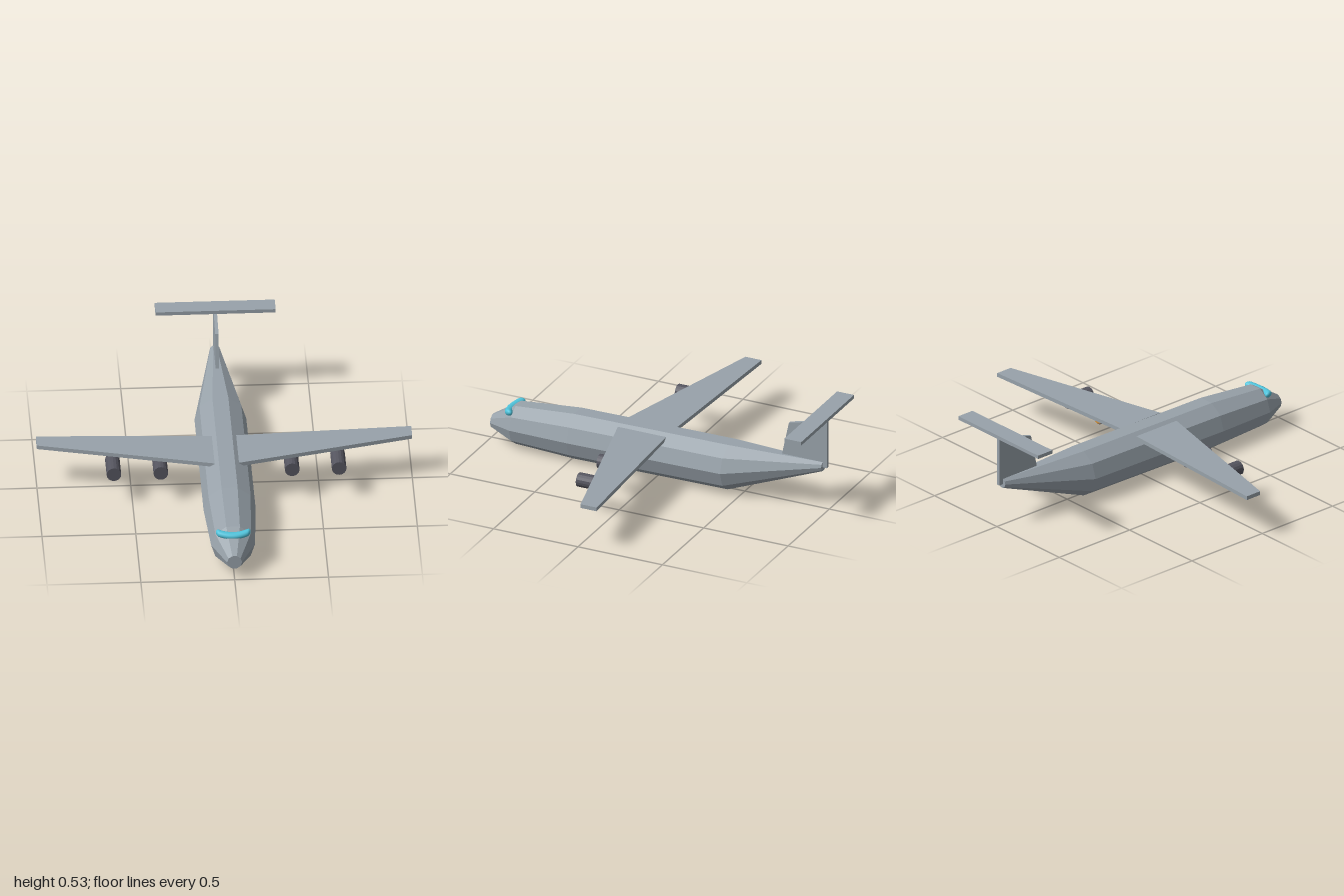
import * as THREE from 'three';

const mat = (name, color) => {
  const m = new THREE.MeshStandardMaterial({ color, flatShading: true });
  m.name = name;
  return m;
};

export function createModel() {
  const plane = new THREE.Group();
  plane.name = 'transportPlane';
  const grey = mat('hullGrey', 0x98a2aa);
  const dark = mat('engineDark', 0x55555f);
  const orange = mat('exhaustOrange', 0xd08a30);
  const glass = mat('cockpitGlass', 0x50c4dc);
  glass.flatShading = false;

  const add = (name, geometry, material, parent = plane) => {
    const mesh = new THREE.Mesh(geometry, material);
    mesh.name = name;
    parent.add(mesh);
    return mesh;
  };
  const slab = (points, depth) => new THREE.ExtrudeGeometry(
    new THREE.Shape(points.map(([x, y]) => new THREE.Vector2(x, y))),
    { depth, bevelEnabled: false });

  // Fuselage: ten-sided tube through stations [z, centre y, radius], tail to nose
  const stations = [
    [-0.965, 0.25, 0.028],
    [-0.42, 0.146, 0.138],
    [0.49, 0.135, 0.139],
    [0.84, 0.125, 0.117],
    [0.99, 0.105, 0.04],
  ];
  const last = stations.length - 1;
  let hull = new THREE.CylinderGeometry(1, 1, 1, 10, last, false, Math.PI / 2);
  hull.rotateX(Math.PI / 2);
  const p = hull.attributes.position;
  for (let i = 0; i < p.count; i++) {
    const [z, cy, r] = stations[Math.round((p.getZ(i) + 0.5) * last)];
    p.setXYZ(i, p.getX(i) * r, cy + p.getY(i) * r, z);
  }
  hull = hull.toNonIndexed();
  hull.computeVertexNormals();
  add('fuselage', hull, grey);

  // Cockpit window: capsule bent around the nose
  const windscreen = new THREE.CapsuleGeometry(0.019, 0.148, 6, 14, 12);
  windscreen.rotateZ(Math.PI / 2);
  const w = windscreen.attributes.position;
  for (let i = 0; i < w.count; i++) {
    const x = w.getX(i);
    w.setXYZ(i, x, 0.204 + w.getY(i) + 1.2 * x * x, 0.88 + w.getZ(i) * 1.2 - 3 * x * x);
  }
  windscreen.computeVertexNormals();
  add('cockpitWindow', windscreen, glass);

  // Wings and engines, mirrored
  for (const [side, s] of [['left', 1], ['right', -1]]) {
    const wing = slab([[0.065 * s, -0.22], [s, 0.015], [s, 0.11], [0.065 * s, 0.065]], 0.022);
    wing.rotateX(-Math.PI / 2).translate(0, 0.236, 0);
    add(side + 'Wing', wing, grey);

    [0.35, 0.6].forEach((x, i) => {
      const engine = new THREE.Group();
      engine.name = side + (i ? 'OuterEngine' : 'InnerEngine');
      engine.position.set(x * s, 0.187, 0.11);
      plane.add(engine);
      add('nacelle', new THREE.CylinderGeometry(0.039, 0.039, 0.16, 16).rotateX(Math.PI / 2), dark, engine);
      // exhaust disc on the rear face
      add('exhaust', new THREE.CylinderGeometry(0.034, 0.034, 0.006, 16).rotateX(Math.PI / 2), orange, engine)
        .position.z = -0.081;
    });
  }

  // Tail fin, drawn as [z, y]
  const fin = slab([[-0.722, 0.265], [-0.99, 0.245], [-0.99, 0.525], [-0.765, 0.467]], 0.018);
  fin.rotateY(-Math.PI / 2).translate(0.009, 0, 0);
  add('tailFin', fin, grey);

  // Tailplane on top of the fin
  add('tailplane', new THREE.BoxGeometry(0.64, 0.02, 0.1), grey).position.set(0, 0.526, -0.94);

  return plane;
}
